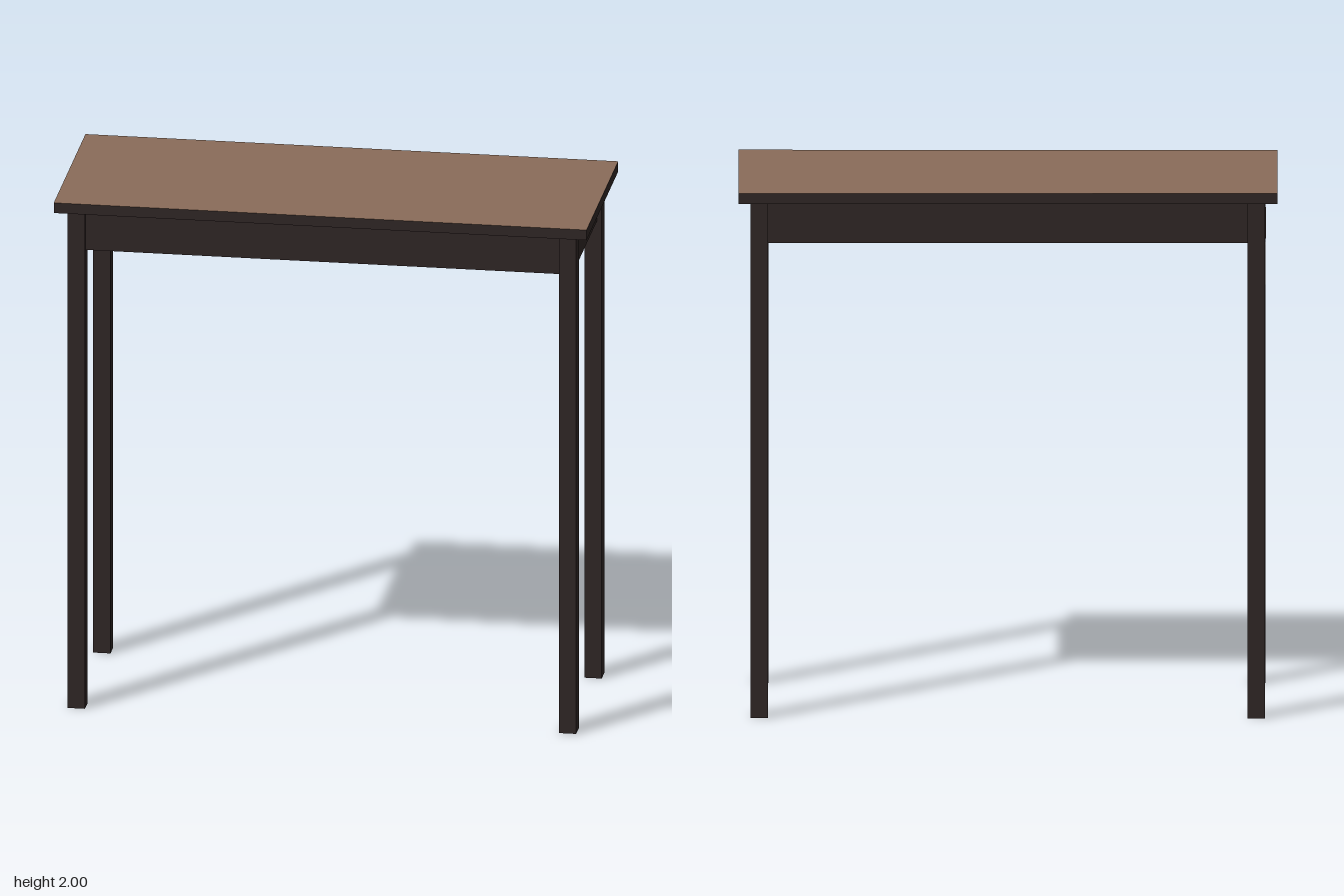
import * as THREE from 'three';

export function createModel() {
  const group = new THREE.Group();
  const dark = new THREE.MeshStandardMaterial({ color: 0x2f2524 });
  dark.name = 'darkWood';
  const brown = new THREE.MeshStandardMaterial({ color: 0x8a6c59 });
  brown.name = 'brownWood';

  const box = (name, w, h, d, x, y, z, material) => {
    const mesh = new THREE.Mesh(new THREE.BoxGeometry(w, h, d), material);
    mesh.name = name;
    mesh.position.set(x, y, z);
    group.add(mesh);
    return mesh;
  };

  // Table top: brown upper face and one brown end, dark elsewhere
  // (face order: +x, -x, +y, -y, +z, -z)
  box('tableTop', 2, 0.04, 0.775, 0, 1.98, 0, [dark, brown, brown, dark, dark, dark]);

  // Four square legs
  const legX = 0.922, legZ = 0.312, legSize = 0.065;
  for (const sx of [-1, 1]) {
    for (const sz of [-1, 1]) {
      box('leg', legSize, 1.96, legSize, sx * legX, 0.98, sz * legZ, dark);
    }
  }

  // Apron boards between the legs
  const thick = 0.03, apronY = 1.88, apronH = 0.16;
  for (const s of [-1, 1]) {
    box('longApron', 2 * legX - legSize, apronH, thick, 0, apronY, s * legZ, dark);
    box('endApron', thick, apronH, 2 * legZ - legSize, s * legX, apronY, 0, dark);
  }

  // Worn brown patches on the outer faces of two legs
  const patchX = -legX - legSize / 2 - 0.001;
  box('wornPatch', 0.002, 0.15, 0.05, patchX, 1.72, -legZ, brown);
  box('wornPatch', 0.002, 0.11, 0.05, patchX, 1.74, legZ, brown);

  return group;
}
